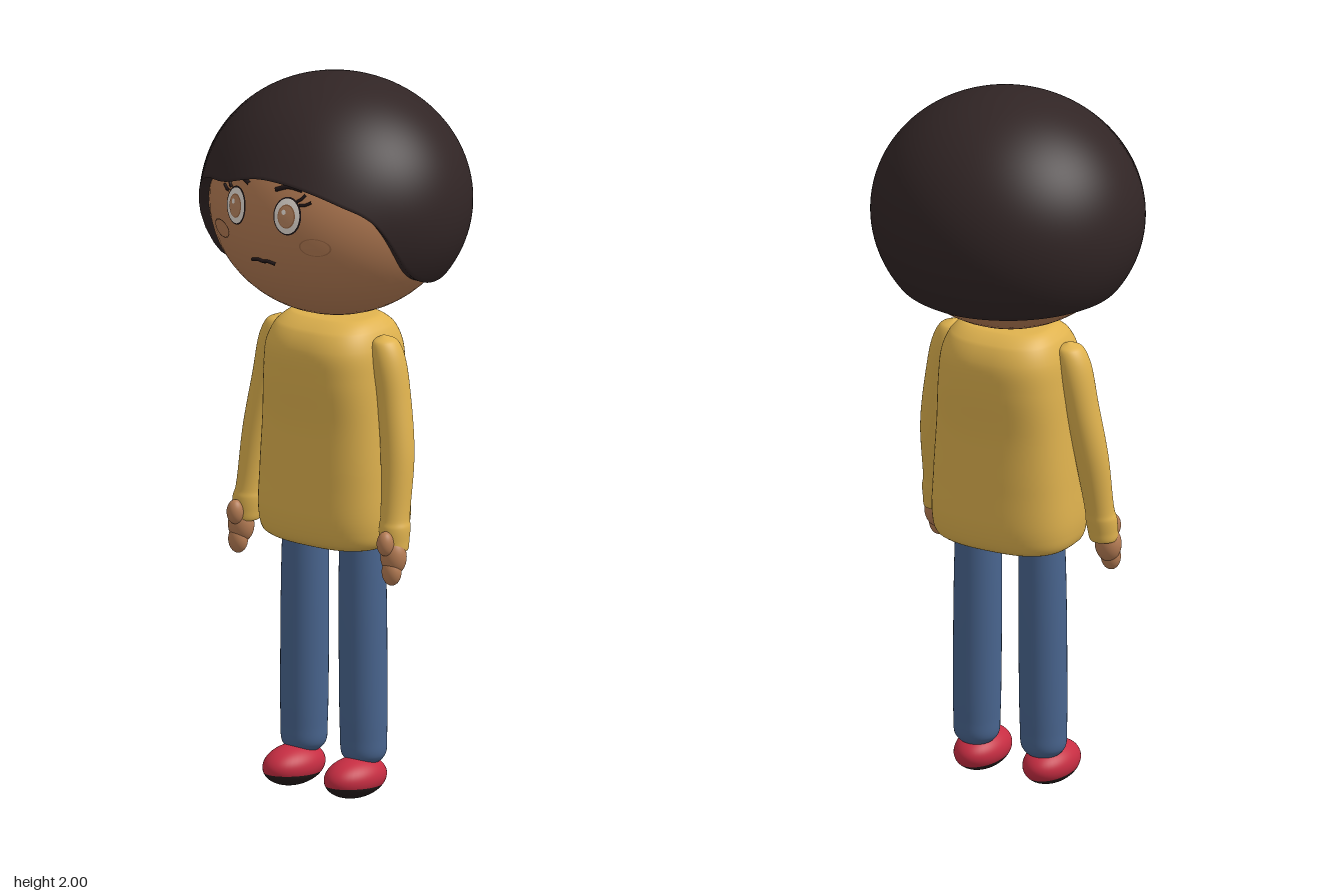
import * as THREE from 'three';
import { mergeVertices } from 'three/addons/utils/BufferGeometryUtils.js';

const HEAD = { y: 1.66, z: 0.005, rx: 0.35, ry: 0.32, rz: 0.335 };

function makeMaterials() {
  const colours = {
    hair: 0x312525, skin: 0xb57c54, sweater: 0xdfb24e, jeans: 0x49658f, shoe: 0xc62d42,
    sole: 0x261c1c, eyeWhite: 0xe8e0d8, line: 0x201617, blush: 0x9c6845, iris: 0xb98560,
  };
  const mats = {};
  for (const [name, color] of Object.entries(colours)) {
    mats[name] = new THREE.MeshStandardMaterial({ color });
    mats[name].name = name;
  }
  return mats;
}

// Smooth closed surface from a rule (u around, v upward)
function surface(rule, nu, nv) {
  const geo = new THREE.PlaneGeometry(1, 1, nu, nv);
  const { position, uv } = geo.attributes;
  for (let i = 0; i < position.count; i++) position.setXYZ(i, ...rule(uv.getX(i), uv.getY(i)));
  geo.deleteAttribute('uv');
  geo.deleteAttribute('normal');
  const merged = mergeVertices(geo, 1e-5);
  merged.computeVertexNormals();
  return merged;
}

// Loft through horizontal sections [x, y, z, rx, rz], listed from bottom to top
function loft(sections, power = 2, nu = 40, nv = 60) {
  const centres = new THREE.CatmullRomCurve3(sections.map(s => new THREE.Vector3(s[0], s[1], s[2])));
  const radii = new THREE.CatmullRomCurve3(sections.map(s => new THREE.Vector3(s[3], s[1], s[4])));
  const bend = t => Math.sign(t) * Math.abs(t) ** (2 / power);
  return surface((u, v) => {
    const a = u * Math.PI * 2, c = centres.getPoint(v), r = radii.getPoint(v);
    return [c.x + Math.max(r.x, 0) * bend(Math.sin(a)), c.y, c.z + Math.max(r.z, 0) * bend(Math.cos(a))];
  }, nu, nv);
}

// Depth of the face surface at a point
function faceZ(x, y) {
  const k = 1 - (x / HEAD.rx) ** 2 - ((y - HEAD.y) / HEAD.ry) ** 2;
  return HEAD.z + HEAD.rz * Math.sqrt(Math.max(k, 0));
}

// Thin disc or ring lying on the face
function facePatch(x, y, rx, ry, lift, inner = 0) {
  const geo = new THREE.RingGeometry(inner, 1, 36, 4);
  const p = geo.attributes.position;
  for (let i = 0; i < p.count; i++) {
    const px = x + p.getX(i) * rx, py = y + p.getY(i) * ry;
    p.setXYZ(i, px, py, faceZ(px, py) + lift);
  }
  geo.computeVertexNormals();
  return geo;
}

// Fine drawn line on the face
function faceStroke(points, radius) {
  const path = points.map(([x, y]) => new THREE.Vector3(x, y, faceZ(x, y) + 0.002));
  return new THREE.TubeGeometry(new THREE.CatmullRomCurve3(path), 16, radius, 8);
}

// Hair cap with a swept fringe: lower edge height by angle from the front
function hairGeometry() {
  const edge = [
    [-180, 1.45], [-120, 1.46], [-76, 1.472], [-62, 1.49], [-54, 1.605], [-46, 1.70], [-36, 1.735],
    [-20, 1.75], [0, 1.782], [20, 1.77], [38, 1.73], [52, 1.68], [70, 1.53], [85, 1.478],
    [120, 1.462], [180, 1.45],
  ];
  const height = new THREE.CubicInterpolant(edge.map(e => e[0]), edge.map(e => e[1]), 1, new Float32Array(1));
  return surface((u, v) => {
    const deg = u * 360 - 180, a = THREE.MathUtils.degToRad(deg);
    const low = Math.asin((height.evaluate(deg)[0] - 1.66) / 0.34);
    const t = Math.min((1 - v) / 0.88, 1);          // crown to edge
    const lip = Math.max((0.12 - v) / 0.12, 0);      // edge turned in to the head
    const lat = Math.PI / 2 + (low - Math.PI / 2) * t;
    const flare = 1 + 0.035 * t ** 6 * Math.max(Math.cos(a), 0) ** 2;
    const k = (1 - 0.13 * lip) * flare, c = Math.cos(lat) * k;
    return [0.378 * c * Math.sin(a), 1.66 + 0.34 * Math.sin(lat), 0.355 * c * Math.cos(a)];
  }, 120, 50);
}

export function createModel() {
  const root = new THREE.Group();
  root.name = 'standingFigure';
  const m = makeMaterials();
  const add = (name, geo, mat, parent = root) => {
    const mesh = new THREE.Mesh(geo, mat);
    mesh.name = name;
    parent.add(mesh);
    return mesh;
  };
  const ball = (name, mat, x, y, z, rx, ry, rz, parent = root) => {
    const mesh = add(name, new THREE.SphereGeometry(1, 48, 32), mat, parent);
    mesh.scale.set(rx, ry, rz);
    mesh.position.set(x, y, z);
    return mesh;
  };

  // Head and hair
  ball('head', m.skin, 0, HEAD.y, HEAD.z, HEAD.rx, HEAD.ry, HEAD.rz);
  add('hair', hairGeometry(), m.hair);

  // Face
  const face = new THREE.Group();
  face.name = 'face';
  root.add(face);
  add('mouth', faceStroke([[-0.04, 1.544], [-0.015, 1.549], [0, 1.546], [0.015, 1.549], [0.04, 1.544]], 0.005), m.line, face);

  // Torso
  add('sweater', loft([
    [0, 0.698, 0.01, 0, 0], [0, 0.702, 0.01, 0.16, 0.11], [0, 0.722, 0.01, 0.198, 0.145],
    [0, 0.77, 0.01, 0.209, 0.157], [0, 0.9, 0.01, 0.205, 0.156], [0, 1.05, 0.01, 0.195, 0.154],
    [0, 1.18, 0.01, 0.186, 0.163], [0, 1.26, 0.01, 0.176, 0.16], [0, 1.31, 0.008, 0.155, 0.135],
    [0, 1.338, 0.005, 0.12, 0.09], [0, 1.345, 0.005, 0, 0],
  ], 2.7, 64, 90), m.sweater);

  for (const s of [1, -1]) {
    const side = s > 0 ? 'left' : 'right';

    // Eye, lashes, brow and cheek
    const ex = s * 0.088, ey = 1.69;
    add(side + 'EyeOutline', facePatch(ex, ey, 0.04, 0.053, 0.002), m.line, face);
    add(side + 'EyeWhite', facePatch(ex, ey, 0.036, 0.049, 0.0035), m.eyeWhite, face);
    add(side + 'IrisRim', facePatch(ex, ey, 0.025, 0.033, 0.005), m.blush, face);
    add(side + 'Iris', facePatch(ex, ey, 0.022, 0.03, 0.0065), m.iris, face);
    add(side + 'EyeGlint', facePatch(ex - 0.006, ey + 0.012, 0.006, 0.007, 0.008), m.eyeWhite, face);
    for (const [x0, y0, x1, y1] of [[0.112, 1.733, 0.132, 1.752], [0.12, 1.723, 0.15, 1.733]]) {
      add(side + 'Lash', faceStroke([[s * x0, y0], [s * (x0 + x1) / 2, (y0 + y1) / 2 - 0.003], [s * x1, y1]], 0.004), m.line, face);
    }
    add(side + 'Brow', faceStroke([[s * 0.045, 1.757], [s * 0.08, 1.768], [s * 0.122, 1.762]], 0.006), m.line, face);
    add(side + 'Cheek', facePatch(s * 0.16, 1.607, 0.04, 0.026, 0.002, 0.9), m.blush, face);

    // Sleeve with a slight cuff
    add(side + 'Sleeve', loft([
      [s * 0.256, 0.722, 0.072, 0, 0], [s * 0.256, 0.726, 0.072, 0.036, 0.036],
      [s * 0.254, 0.755, 0.07, 0.041, 0.041], [s * 0.252, 0.79, 0.066, 0.043, 0.043],
      [s * 0.25, 0.81, 0.062, 0.04, 0.041], [s * 0.238, 0.98, 0.036, 0.046, 0.046],
      [s * 0.215, 1.13, 0.022, 0.046, 0.048], [s * 0.192, 1.25, 0.02, 0.044, 0.048],
      [s * 0.182, 1.29, 0.02, 0.032, 0.036], [s * 0.178, 1.306, 0.02, 0, 0],
    ]), m.sweater);

    // Hand
    const hand = new THREE.Group();
    hand.name = side + 'Hand';
    root.add(hand);
    ball('palm', m.skin, s * 0.263, 0.71, 0.085, 0.037, 0.05, 0.034, hand);
    ball('fingers', m.skin, s * 0.265, 0.67, 0.096, 0.028, 0.038, 0.025, hand);
    ball('thumb', m.skin, s * 0.259, 0.752, 0.116, 0.023, 0.034, 0.024, hand);

    // Trouser leg
    const leg = [[0.09, 0], [0.093, 0.04], [0.115, 0.06], [0.17, 0.064], [0.4, 0.066], [0.6, 0.065], [0.74, 0.062]];
    add(side + 'Leg', loft(leg.map(([y, r]) => [s * (0.104 - 0.008 * y), y, 0.013, r, r])), m.jeans);

    // Shoe upper and sole, cut from one egg with the toe raised
    const split = Math.PI * 0.61;
    for (const [part, from, to, mat] of [['Shoe', 0, split, m.shoe], ['Sole', split, Math.PI - split, m.sole]]) {
      const geo = new THREE.SphereGeometry(1, 40, 24, 0, Math.PI * 2, from, to);
      geo.rotateX(-0.15);
      geo.scale(0.069, 0.056, 0.107);
      add(side + part, geo, mat).position.set(s * 0.106, 0.057, 0.053);
    }
  }
  return root;
}
